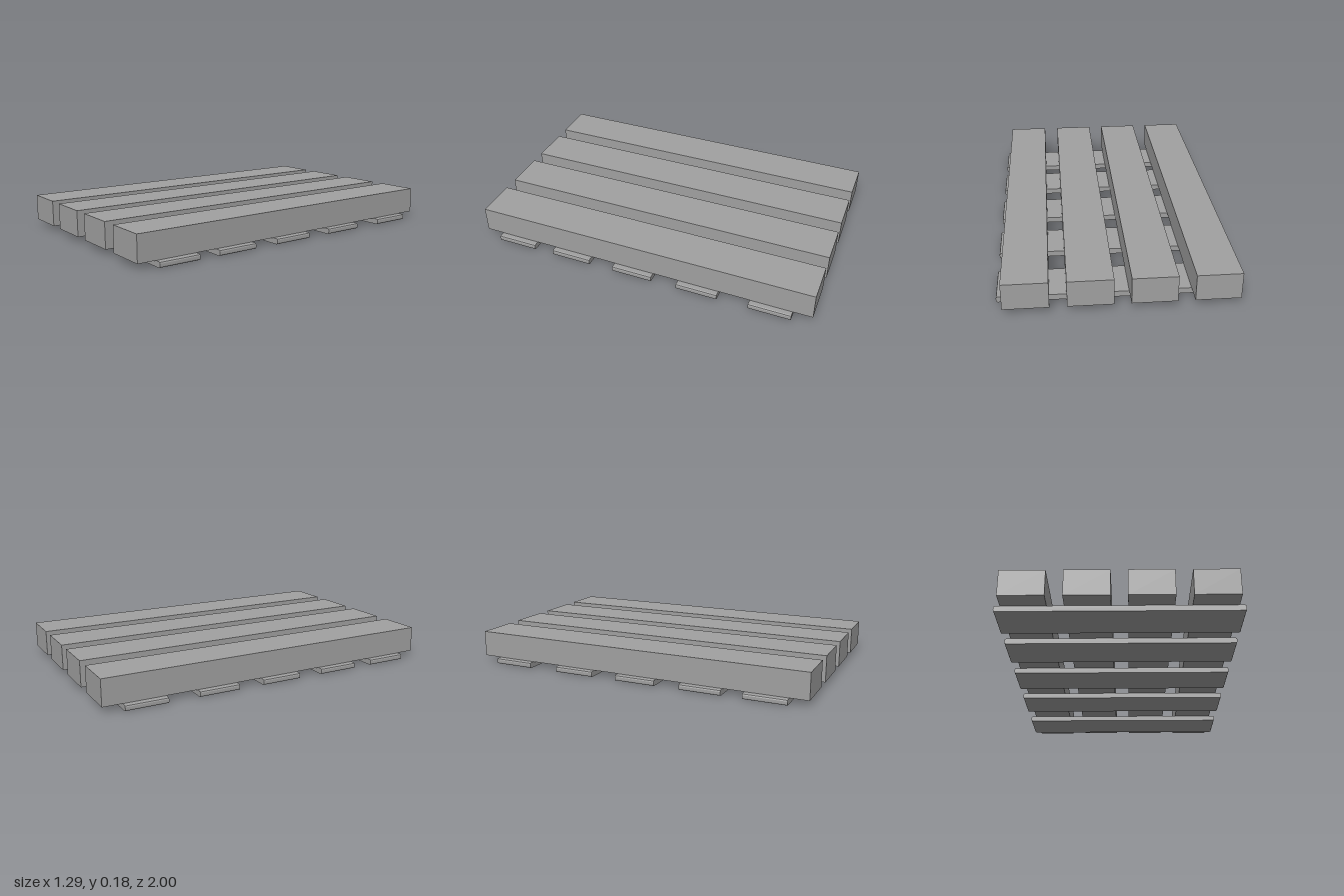
import * as THREE from 'three';

const BEAM_X = [-0.491, -0.164, 0.162, 0.489];
const BOARD_Z = [-0.772, -0.356, 0.033, 0.419, 0.777];
const WIDTH = 0.238;
const BOARD_HALF = 0.643;
const BOARD_H = 0.032;
const TOP = 0.18;

// Flat board profile whose two ends have small rounded edges
function boardGeometry() {
  const r = 0.009, w = BOARD_HALF, h = BOARD_H;
  const s = new THREE.Shape();
  s.moveTo(-w + r, 0);
  s.lineTo(w - r, 0);
  s.absarc(w - r, r, r, -Math.PI / 2, 0, false);
  s.absarc(w - r, h - r, r, 0, Math.PI / 2, false);
  s.absarc(-w + r, h - r, r, Math.PI / 2, Math.PI, false);
  s.absarc(-w + r, r, r, Math.PI, Math.PI * 1.5, false);
  const g = new THREE.ExtrudeGeometry(s, { depth: WIDTH, bevelEnabled: false, curveSegments: 1 });
  return g.translate(0, 0, -WIDTH / 2);
}

export function createModel() {
  const model = new THREE.Group();
  model.name = 'pallet';
  const material = new THREE.MeshStandardMaterial({ color: 0xa0a0a0, flatShading: true });

  // Long thick beams running front to back
  const beamGeo = new THREE.BoxGeometry(WIDTH, TOP - BOARD_H, 2);
  BEAM_X.forEach((x, i) => {
    const beam = new THREE.Mesh(beamGeo, material);
    beam.name = `beam${i + 1}`;
    beam.position.set(x, (TOP + BOARD_H) / 2, 0);
    model.add(beam);
  });

  // Thin cross boards underneath
  const boardGeo = boardGeometry();
  BOARD_Z.forEach((z, i) => {
    const board = new THREE.Mesh(boardGeo, material);
    board.name = `crossBoard${i + 1}`;
    board.position.z = z;
    model.add(board);
  });

  return model;
}
